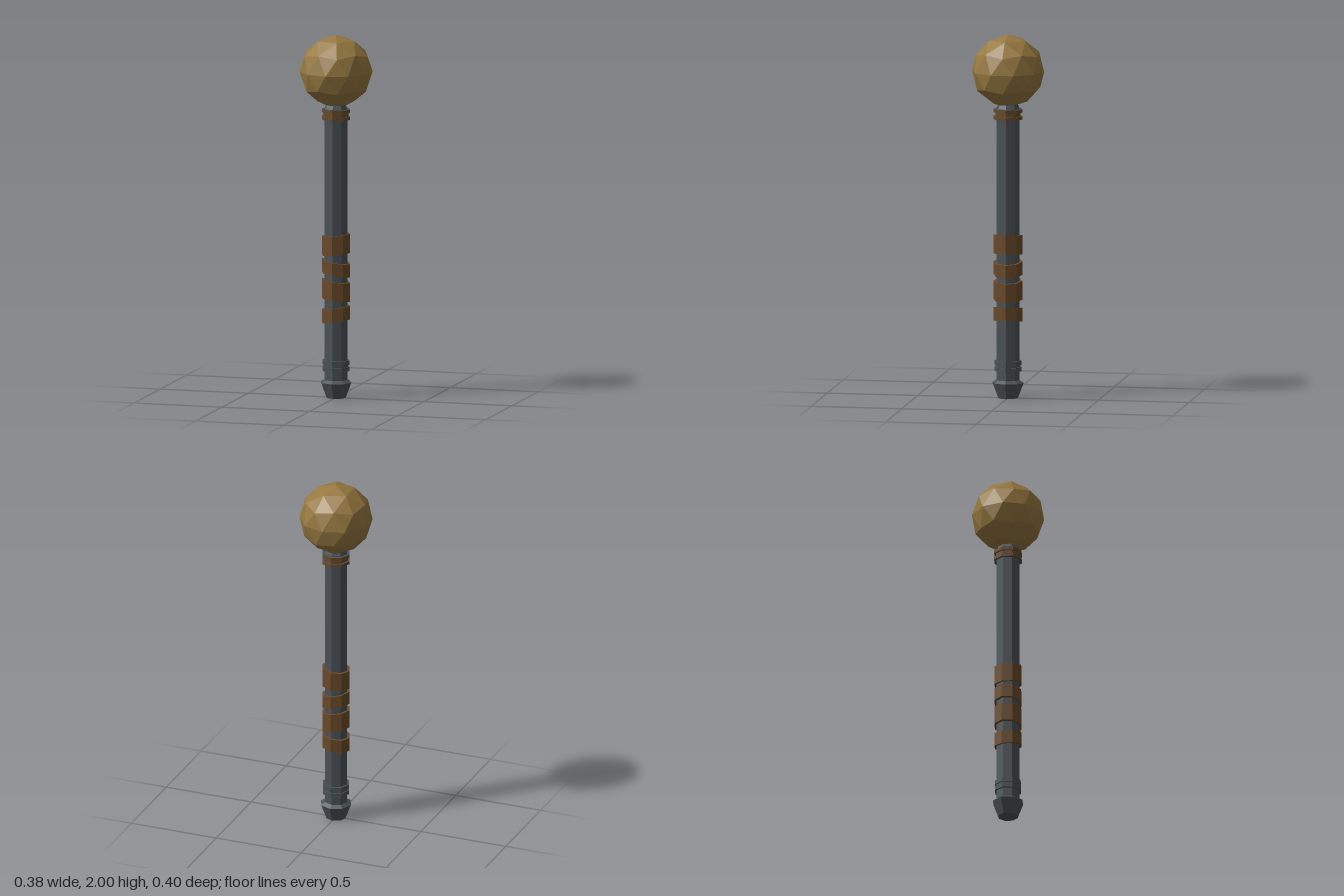
import * as THREE from 'three';

const SIDES = 8;

// Split the faces apart so that every facet is flat
function faceted(geometry) {
  const flat = geometry.index ? geometry.toNonIndexed() : geometry;
  flat.computeVertexNormals();
  return flat;
}

export function createModel() {
  const model = new THREE.Group();
  model.name = 'mace';

  const darkMetal = new THREE.MeshStandardMaterial({ color: 0x4a5257 });
  darkMetal.name = 'dark metal';
  const leather = new THREE.MeshStandardMaterial({ color: 0x6b4a29 });
  leather.name = 'brown leather';
  const brass = new THREE.MeshStandardMaterial({ color: 0x967840 });
  brass.name = 'brass';

  function add(name, geometry, material) {
    const mesh = new THREE.Mesh(faceted(geometry), material);
    mesh.name = name;
    model.add(mesh);
    return mesh;
  }

  // Eight-sided band; slope makes it rise towards +x
  function band(name, bottom, top, radius, material, slope = 0) {
    const geometry = new THREE.CylinderGeometry(radius, radius, top - bottom, SIDES);
    geometry.translate(0, (top + bottom) / 2, 0);
    const p = geometry.attributes.position;
    for (let i = 0; i < p.count; i++) p.setY(i, p.getY(i) + slope * p.getX(i));
    return add(name, geometry, material);
  }

  // Flared pommel and long shaft with a narrowing neck
  const profile = [
    [0, 0], [0.055, 0], [0.087, 0.085], [0.065, 0.1],
    [0.065, 1.595], [0.052, 1.625], [0.052, 1.68],
  ].map(([r, y]) => new THREE.Vector2(r, y));
  add('shaft', new THREE.LatheGeometry(profile, SIDES), darkMetal);

  // Lower metal rings
  band('lowerRing', 0.149, 0.172, 0.076, darkMetal);
  band('lowerRing', 0.183, 0.207, 0.076, darkMetal);
  band('lowerRingCore', 0.17, 0.185, 0.069, darkMetal);

  // Neck rings: brown rims on metal discs, with a brown core between
  const rim = [leather, darkMetal, darkMetal];
  band('neckRing', 1.535, 1.553, 0.08, rim);
  band('neckRing', 1.573, 1.592, 0.08, rim);
  band('neckRingCore', 1.55, 1.575, 0.07, leather);

  // Slanted grip wraps: bottom, top, slope
  const wraps = [
    [0.423, 0.498, 0.14],
    [0.542, 0.645, -0.13],
    [0.68, 0.752, -0.18],
    [0.793, 0.898, 0.1],
  ];
  for (const [bottom, top, slope] of wraps) band('gripWrap', bottom, top, 0.079, leather, slope);

  // Faceted round head, turned so that one corner points straight up
  const head = new THREE.IcosahedronGeometry(0.2, 1);
  head.rotateZ(-Math.atan(2 / (1 + Math.sqrt(5))));
  add('head', head, brass).position.y = 1.8;

  return model;
}
